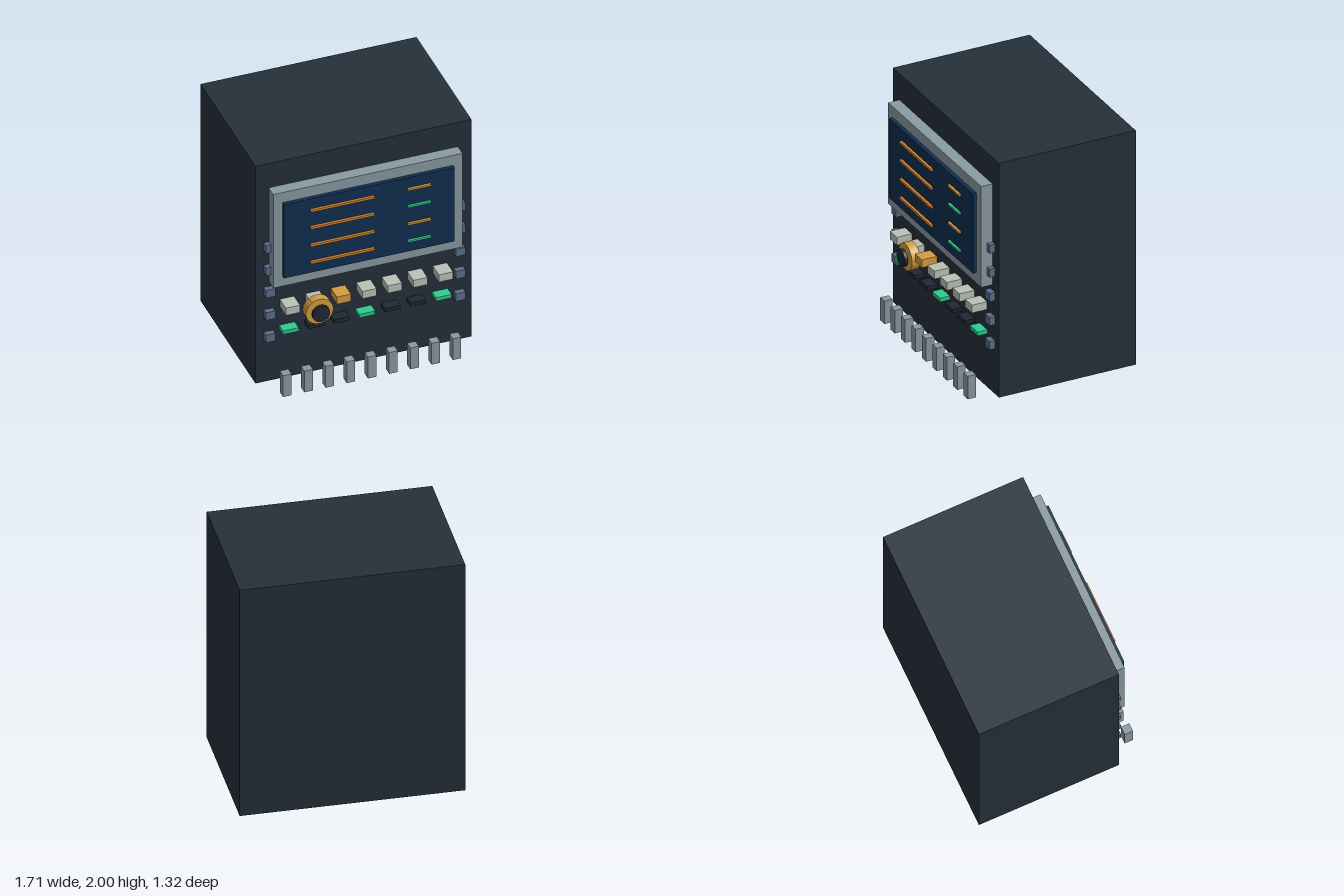
import * as THREE from 'three';

const mat = (name, color, flatShading = false) => {
  const m = new THREE.MeshStandardMaterial({ color });
  m.name = name;
  m.flatShading = flatShading;
  return m;
};

export function createModel() {
  const model = new THREE.Group();
  model.name = 'controlTerminal';

  const casing = mat('casing', 0x25303a);
  const metal = mat('greyMetal', 0x8a9ba3);
  const glass = mat('screenBlue', 0x0f2f50);
  const orange = mat('orange', 0xd4832e);
  const gold = mat('gold', 0xd49e42);
  const green = mat('green', 0x2ecc90);
  const ivory = mat('ivory', 0xbcc2b8);
  const slate = mat('slateBlue', 0x5a6f8c);
  const dark = mat('dark', 0x1f2831);

  // Box centred on x, y and spanning z0..z1
  const box = (name, material, x, y, w, h, z0, z1) => {
    const mesh = new THREE.Mesh(new THREE.BoxGeometry(w, h, z1 - z0), material);
    mesh.name = name;
    mesh.position.set(x, y, (z0 + z1) / 2);
    model.add(mesh);
  };
  // Disc facing +z
  const disc = (name, material, x, y, r, z0, z1) => {
    const geo = new THREE.CylinderGeometry(r, r, z1 - z0, 24).rotateX(Math.PI / 2);
    const mesh = new THREE.Mesh(geo, material);
    mesh.name = name;
    mesh.position.set(x, y, (z0 + z1) / 2);
    model.add(mesh);
  };

  const face = 0.48;

  // Cabinet, bezel and screen
  box('cabinet', casing, 0, 1.02, 1.71, 1.96, -0.66, face);
  box('bezel', metal, 0, 1.358, 1.5, 0.845, face, 0.574);
  box('screen', glass, 0, 1.358, 1.352, 0.665, 0.57, 0.605);

  // Readout bars on the screen
  [1.592, 1.438, 1.28, 1.125].forEach((y, i) => {
    box('longReadout', orange, -0.218, y, 0.506, 0.019, 0.605, 0.626);
    box('shortReadout', i % 2 ? green : gold, 0.392, y, 0.184, 0.016, 0.605, 0.624);
  });

  // Side keys in two columns
  for (const side of [-1, 1]) {
    for (let i = 0; i < 5; i++) {
      box('sideKey', slate, side * 0.753, 1.26 - i * 0.2015, 0.075, 0.069, face, 0.525);
    }
  }

  // Push buttons with indicator lamps below
  for (let i = 0; i < 7; i++) {
    const x = (i - 3) * 0.202;
    box('pushButton', i === 2 ? gold : ivory, x, 0.72, 0.112, 0.066, face, 0.605);
    box('indicatorLamp', i % 3 ? dark : green, x, 0.504, 0.125, 0.032, face, 0.562);
  }

  // Rotary knob
  disc('knobRing', gold, -0.397, 0.663, 0.109, 0.543, 0.613);
  disc('knobCap', dark, -0.397, 0.663, 0.069, 0.627, 0.652);

  // Row of connector pins
  for (let i = 0; i < 9; i++) {
    box('connectorPin', metal, (i - 4) * 0.168, 0.096, 0.067, 0.192, 0.595, 0.663);
  }

  return model;
}
